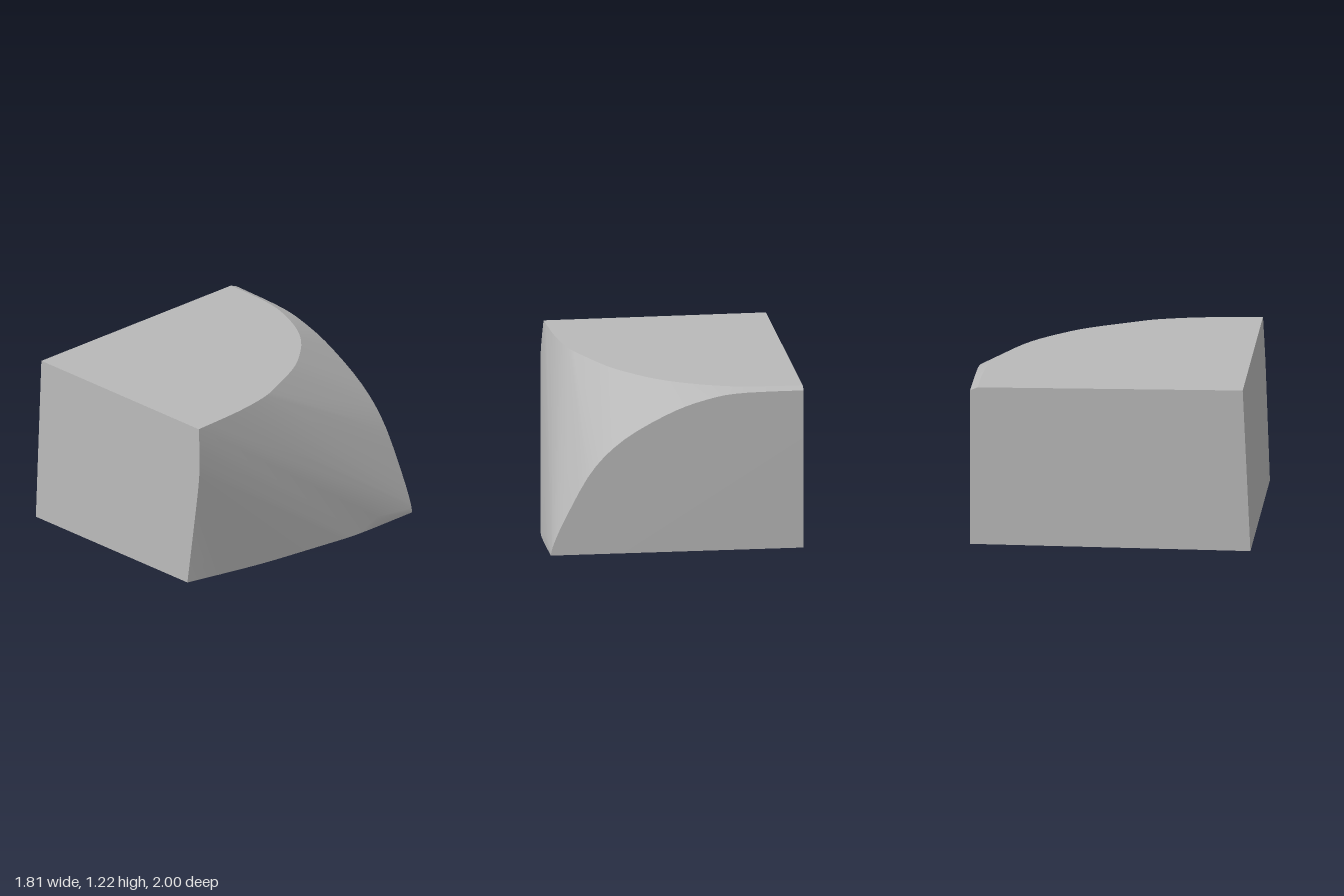
import * as THREE from 'three';
import { toCreasedNormals } from 'three/addons/utils/BufferGeometryUtils.js';
import { ConvexGeometry } from 'three/addons/geometries/ConvexGeometry.js';

// Smooth curve through 2D points, lifted onto one of the block's planes
function edge(points, lift, count = 16) {
  const curve = new THREE.SplineCurve(points.map(([a, b]) => new THREE.Vector2(a, b)));
  return curve.getPoints(count).map((p) => new THREE.Vector3(...lift(p.x, p.y)));
}

// The four planes that meet the rounded side
const onTop = (x, z) => [x, 1.198 + 0.0185 * z, z];
const onFront = (x, y) => [x, y, 1.0 - 0.045 * y];
const onBack = (x, y) => [x, y, -0.985 + 0.0166 * x];
const onBottom = (x, z) => [x, 0.005 + 0.004 * z, z];

export function createModel() {
  const model = new THREE.Group();
  const grey = new THREE.MeshStandardMaterial({ color: 0xb8b8b8 });
  grey.name = 'grey';

  const points = [
    // flat left side
    new THREE.Vector3(...onBottom(-0.905, 1)),
    new THREE.Vector3(...onBottom(-0.905, -1)),
    new THREE.Vector3(...onTop(-0.905, 0.945)),
    // rounded edge of the top
    ...edge([[0.69, 0.945], [0.665, 0.52], [0.61, 0.2], [0.53, 0], [0.41, -0.27], [0.28, -0.46],
      [0.1, -0.655], [-0.12, -0.8], [-0.4, -0.91], [-0.65, -0.94], [-0.905, -0.945]], onTop, 30),
    // bowed edge of the front
    ...edge([[0.63, 0.009], [0.67, 0.4], [0.708, 0.8], [0.708, 1.0], [0.69, 1.215]], onFront),
    // arched edge of the back
    ...edge([[0.905, 0], [0.885, 0.08], [0.8, 0.27], [0.61, 0.61], [0.38, 0.835], [0.05, 1.02],
      [-0.21, 1.11], [-0.45, 1.15], [-0.905, 1.157]], onBack, 28),
    // bowed edge of the bottom
    ...edge([[0.63, 1], [0.77, 0.42], [0.86, -0.15], [0.9, -0.45], [0.905, -0.97]], onBottom),
    // small facet low on the rounded side
    new THREE.Vector3(0.903, 0.08, -0.62),
  ];

  const geometry = toCreasedNormals(new ConvexGeometry(points), 0.3);
  const block = new THREE.Mesh(geometry, grey);
  block.name = 'roundedBlock';
  model.add(block);
  return model;
}
